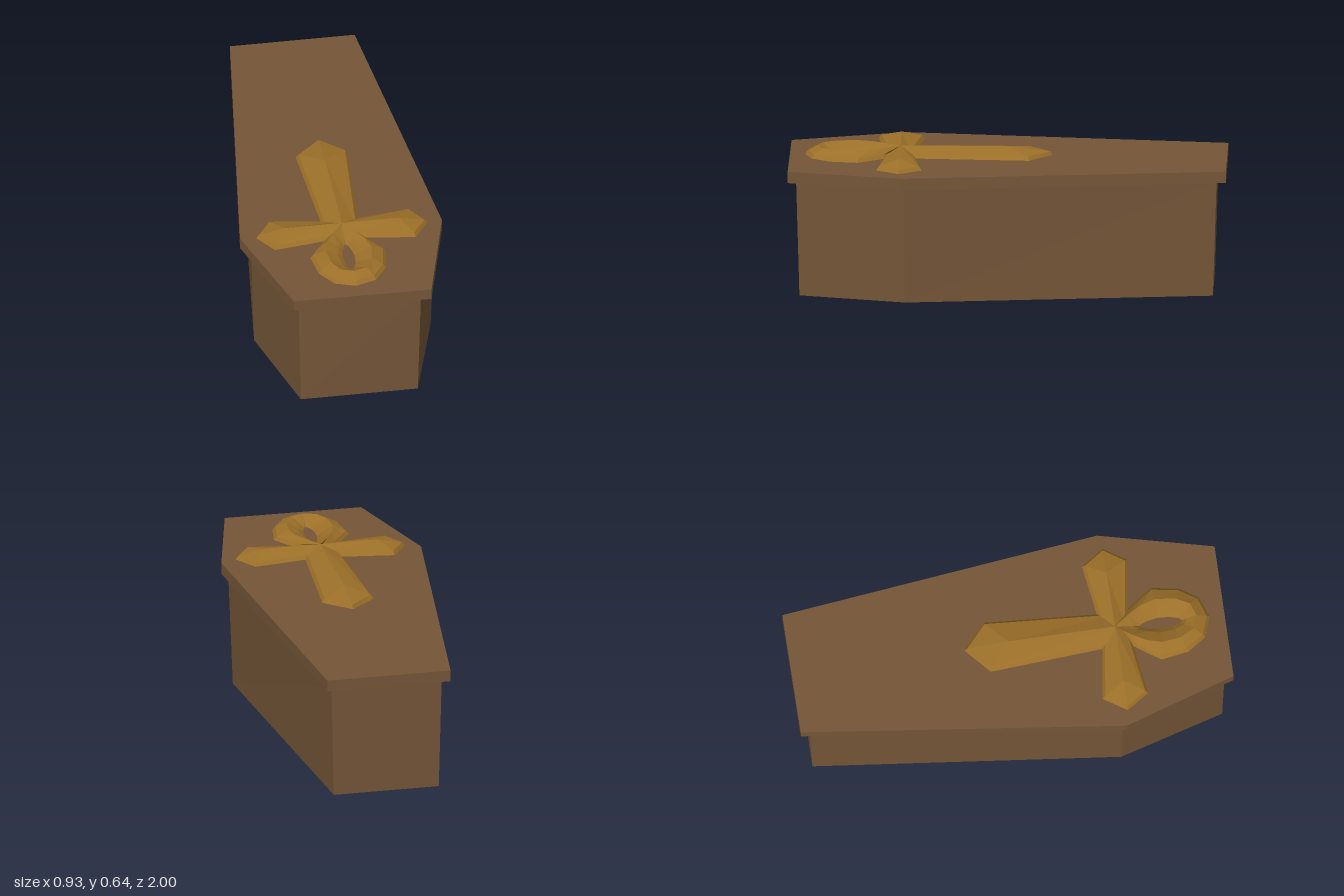
import * as THREE from 'three';

const wood = new THREE.MeshStandardMaterial({ color: 0x755638 });
const gold = new THREE.MeshStandardMaterial({ color: 0x9c7029, side: THREE.DoubleSide });

// Skins a stack of loops; each loop is { y, pts: [[x, z], ...] } and runs counterclockwise from above.
function loft(name, loops, material, closed = true) {
  const pos = [];
  const n = loops[0].pts.length;
  const at = (l, i) => new THREE.Vector3(l.pts[i % n][0], l.y[i % n] ?? l.y, l.pts[i % n][1]);
  const tri = (a, b, c) => {
    const area = b.clone().sub(a).cross(c.clone().sub(a)).length();
    if (area > 1e-9) for (const v of [a, b, c]) pos.push(v.x, v.y, v.z);
  };
  for (let k = 0; k + 1 < loops.length; k++) {
    for (let i = 0; i < (closed ? n : n - 1); i++) {
      const a = at(loops[k], i), b = at(loops[k], i + 1);
      const c = at(loops[k + 1], i + 1), d = at(loops[k + 1], i);
      tri(a, b, c);
      tri(a, c, d);
    }
  }
  const geo = new THREE.BufferGeometry();
  geo.setAttribute('position', new THREE.Float32BufferAttribute(pos, 3));
  geo.computeVertexNormals();
  const mesh = new THREE.Mesh(geo, material);
  mesh.name = name;
  return mesh;
}

// Solid between two outlines, capped at both ends.
function prism(name, bottom, y0, top, y1) {
  const centre = bottom.map(() => [0, 0]);
  return loft(name, [
    { y: y0, pts: centre }, { y: y0, pts: bottom },
    { y: y1, pts: top }, { y: y1, pts: centre },
  ], wood);
}

const BASE = 0.597, STEP = 0.614, RIDGE = 0.638;

// Pointed, ridged arm running along +z from the crossing.
function arm(name, w0, w1, shoulder, tip, ridge, angle) {
  const outline = (inset) => [
    [-w0 + inset, 0], [-w1 + inset, shoulder - inset * 0.4], [0, tip - inset],
    [w1 - inset, shoulder - inset * 0.4], [w0 - inset, 0],
  ];
  const mesh = loft(name, [
    { y: BASE, pts: outline(0) },
    { y: STEP, pts: outline(0.013) },
    { y: RIDGE, pts: [[0, 0], [0, ridge], [0, ridge], [0, ridge], [0, 0]] },
  ], gold, false);
  mesh.rotation.y = angle;
  mesh.position.z = 0.49;
  return mesh;
}

// Mirrors a half outline (back to front) into a full loop.
const mirror = (half) => [
  ...half.map(([x, z]) => [-x, z]),
  ...half.slice(1, -1).reverse(),
];

export function createModel() {
  const model = new THREE.Group();

  // Tapered six-sided box
  const bottom = [[-0.26, 0.945], [0.28, 0.945], [0.415, 0.46], [0.25, -0.94], [-0.24, -0.94], [-0.4, 0.46]];
  const rim = [[-0.272, 0.955], [0.292, 0.96], [0.435, 0.465], [0.265, -0.957], [-0.25, -0.957], [-0.415, 0.465]];
  model.add(prism('box', bottom, 0, rim, 0.54));

  // Overhanging lid
  const lid = [[-0.3, 0.992], [0.335, 0.998], [0.465, 0.475], [0.293, -1], [-0.282, -1], [-0.467, 0.475]];
  model.add(prism('lid', lid, 0.538, lid, 0.591));

  // Looped cross ornament
  const ornament = new THREE.Group();
  ornament.name = 'loopedCross';
  ornament.add(arm('longArm', 0.08, 0.12, 0.59, 0.695, 0.49, Math.PI));
  for (const [name, s] of [['leftArm', 1], ['rightArm', -1]]) {
    ornament.add(arm(name, 0.06, 0.105, 0.325, 0.395, 0.265, s * Math.PI / 2));
  }

  // Teardrop loop: outer wall, outer bevel, crest, inner bevel, inner wall
  const outer = [[0, 0.49], [0.09, 0.56], [0.145, 0.635], [0.175, 0.68], [0.155, 0.805], [0.095, 0.893], [0, 0.925]];
  const outerStep = outer.map(([x, z]) => [x * 0.92, 0.69 + (z - 0.69) * 0.945]);
  const crest = [[0, 0.49], [0.05, 0.56], [0.085, 0.62], [0.105, 0.69], [0.095, 0.78], [0.06, 0.845], [0, 0.865]];
  const innerStep = [[0, 0.57], [0.02, 0.59], [0.035, 0.63], [0.05, 0.69], [0.045, 0.76], [0.025, 0.805], [0, 0.82]];
  const inner = [[0, 0.6], [0.01, 0.615], [0.02, 0.645], [0.028, 0.69], [0.024, 0.745], [0.012, 0.785], [0, 0.8]];
  ornament.add(loft('loop', [
    { y: BASE, pts: mirror(outer) },
    { y: STEP, pts: mirror(outerStep) },
    { y: RIDGE, pts: mirror(crest) },
    { y: STEP, pts: mirror(innerStep) },
    { y: BASE, pts: mirror(inner) },
  ], gold));
  model.add(ornament);

  return model;
}
